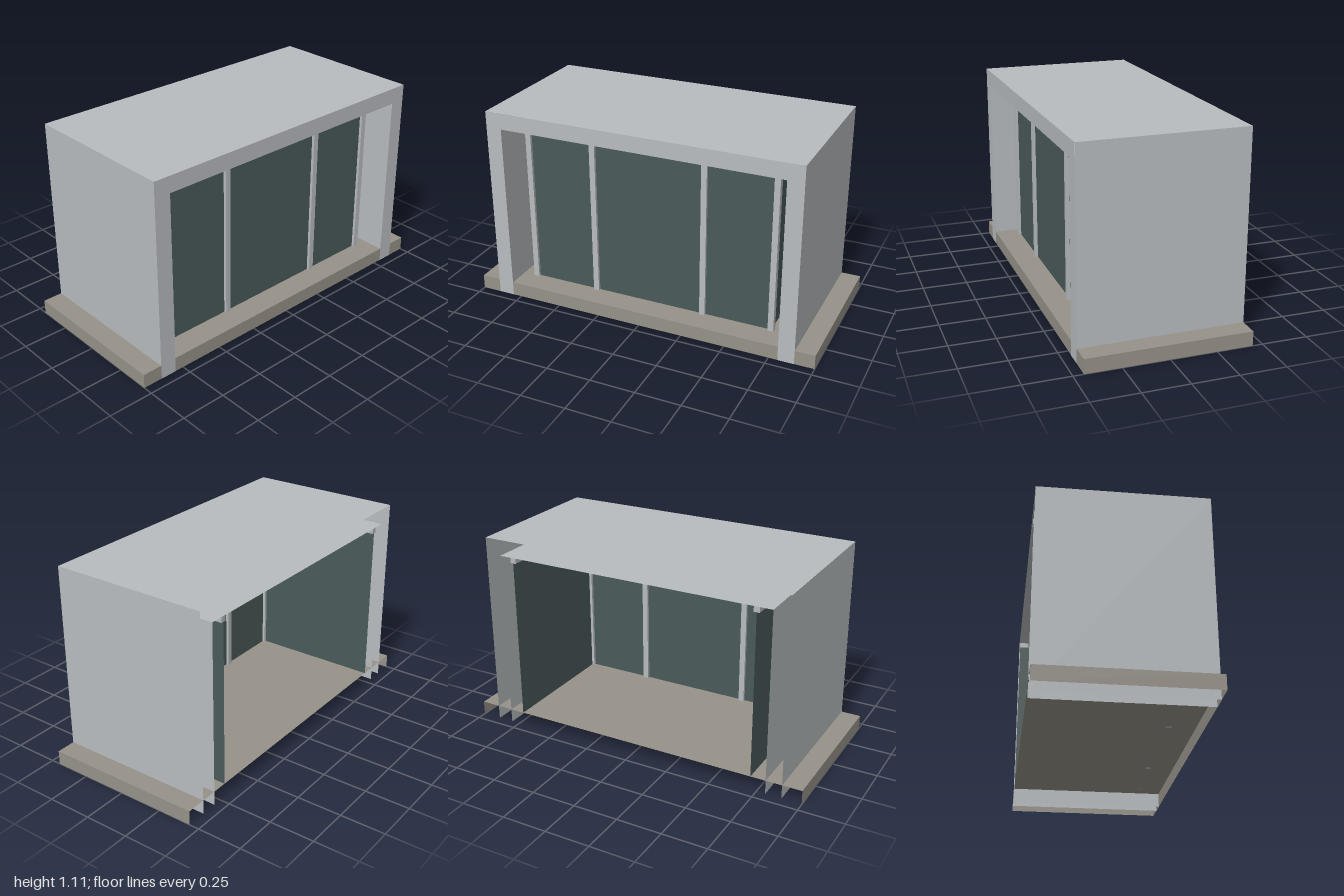
import * as THREE from 'three';

const material = (name, color) => {
  const m = new THREE.MeshStandardMaterial({ color, side: THREE.DoubleSide });
  m.name = name;
  return m;
};

export function createModel() {
  const shellGrey = material('shell grey', 0xb8bcbf);
  const stone = material('stone', 0x969289);
  const glass = material('dark glass', 0x4a5a59);

  const D = 0.445;       // half depth
  const BASE = 0.08;     // floor level
  const OUT = 0.89, TOP = 1.11;   // outside of the frame
  const IN = 0.80, CEIL = 1.02;   // inside of the frame
  const GX = 0.715, GZ = 0.305;   // glazing lines
  const H = CEIL - BASE;

  const group = new THREE.Group();
  const add = (parent, name, geometry, mat, x, y, z) => {
    const mesh = new THREE.Mesh(geometry, mat);
    mesh.name = name;
    mesh.position.set(x, y, z);
    parent.add(mesh);
    return mesh;
  };
  const part = (name) => {
    const g = new THREE.Group();
    g.name = name;
    group.add(g);
    return g;
  };
  // Single-sheet surfaces; the back of the model is left open
  const level = (w, d) => new THREE.PlaneGeometry(w, d).rotateX(-Math.PI / 2);
  const upright = (d, h, side) => new THREE.PlaneGeometry(d, h).rotateY(side * Math.PI / 2);

  // Floor slab: top, front and two ends
  const slab = part('floorSlab');
  add(slab, 'floorTop', level(2, 2 * D), stone, 0, BASE, 0);
  add(slab, 'floorFront', new THREE.PlaneGeometry(2, BASE), stone, 0, BASE / 2, D);
  for (const s of [-1, 1]) {
    add(slab, 'floorEnd', upright(2 * D, BASE, s), stone, s, BASE / 2, 0);
  }

  // Portal frame: front face, roof, soffit, outer and inner walls
  const frame = part('portalFrame');
  const face = new THREE.Shape([
    [-OUT, 0], [-IN, 0], [-IN, CEIL], [IN, CEIL],
    [IN, 0], [OUT, 0], [OUT, TOP], [-OUT, TOP],
  ].map(([x, y]) => new THREE.Vector2(x, y)));
  add(frame, 'frameFace', new THREE.ShapeGeometry(face), shellGrey, 0, 0, D + 0.001);
  add(frame, 'roof', level(2 * OUT, 2 * D), shellGrey, 0, TOP, 0);
  add(frame, 'soffit', level(2 * IN, 2 * D).rotateX(Math.PI), shellGrey, 0, CEIL, 0);
  for (const s of [-1, 1]) {
    add(frame, 'outerWall', upright(2 * D, TOP, s), shellGrey, s * OUT, TOP / 2, 0);
    add(frame, 'innerWall', upright(2 * D, CEIL, -s), shellGrey, s * IN, CEIL / 2, 0);
  }

  // Recessed glazing: front pane and two side panes
  const glazing = part('glazing');
  const midY = BASE + H / 2;
  add(glazing, 'frontGlass', new THREE.PlaneGeometry(2 * GX, H), glass, 0, midY, GZ);
  for (const s of [-1, 1]) {
    add(glazing, 'sideGlass', upright(GZ + D, H, s), glass, s * GX, midY, (GZ - D) / 2);
  }

  // Front posts and the top rails of the side panes
  const bars = part('glazingBars');
  for (const s of [-1, 1]) {
    for (const x of [GX, 0.323]) {
      add(bars, 'post', new THREE.BoxGeometry(0.032, H, 0.032), shellGrey, s * x, midY, GZ);
    }
    add(bars, 'topRail', new THREE.BoxGeometry(0.032, 0.03, GZ + D), shellGrey,
      s * GX, CEIL - 0.015, (GZ - D) / 2);
  }
  return group;
}
